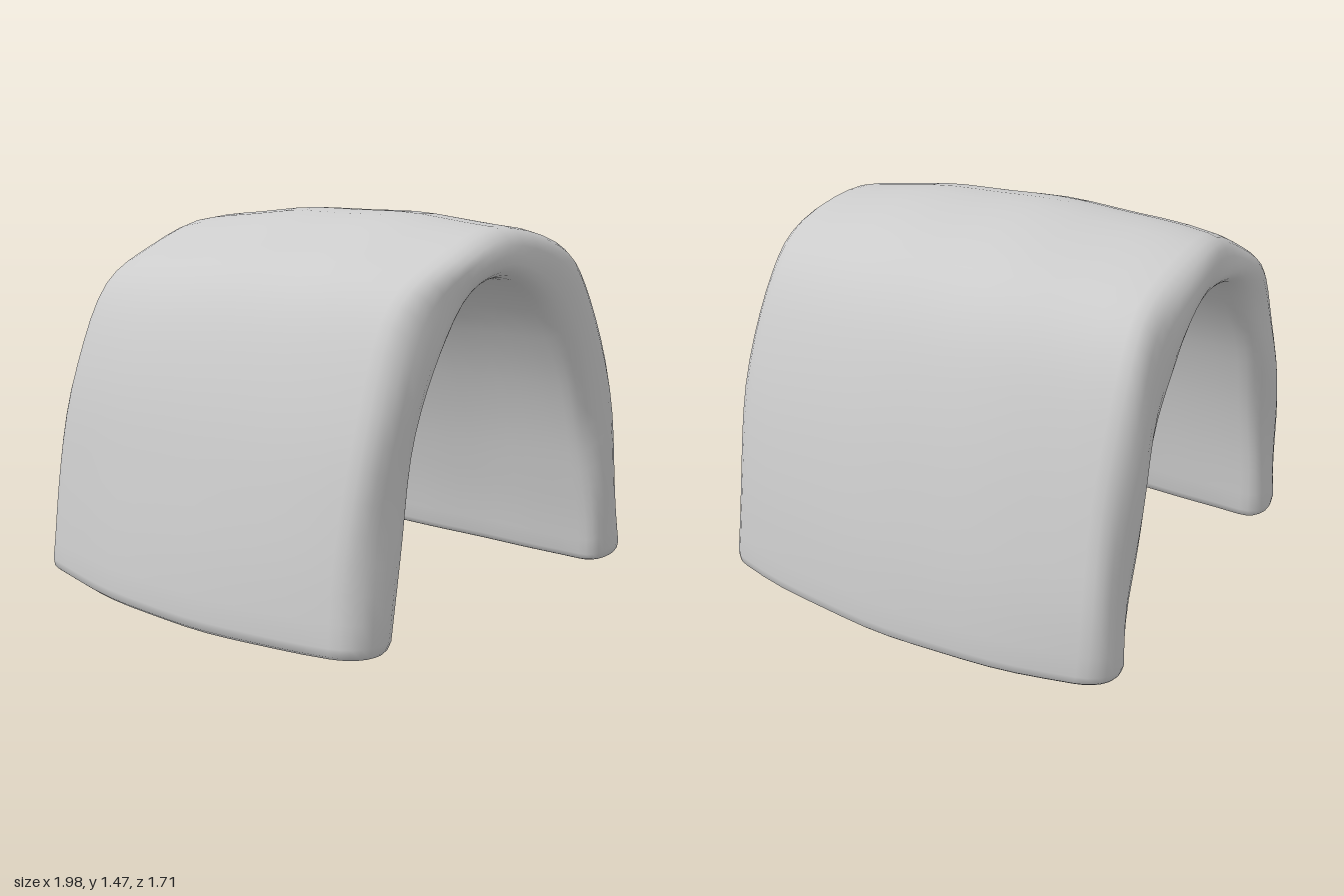
import * as THREE from 'three';

// Arch profile, from the right foot (-x) over the crown to the left foot (+x)
const spline = pts => new THREE.SplineCurve(pts.map(([x, y]) => new THREE.Vector2(x, y)));
const outer = spline([[-0.99, 0.03], [-0.94, 0.4], [-0.84, 0.84], [-0.66, 1.2], [-0.38, 1.37], [-0.02, 1.47],
  [0.4, 1.4], [0.65, 1.23], [0.82, 0.87], [0.94, 0.42], [0.985, 0.05]]);
const inner = spline([[-0.69, 0], [-0.65, 0.35], [-0.57, 0.68], [-0.45, 0.95], [-0.24, 1.18], [0, 1.23],
  [0.27, 1.13], [0.45, 0.9], [0.59, 0.6], [0.67, 0.3], [0.72, 0.02]]);

// Wall cross-section: a runs from inner (-1) to outer (+1), z along the depth
function wallSection() {
  const half = [];
  for (let i = 0; i <= 14; i++) half.push([1, 0.75 * (i / 7 - 1)]);
  for (let i = 1; i < 10; i++) {
    const q = Math.PI * (0.5 - i / 10), s = Math.sin(q);
    half.push([Math.sign(s) * Math.abs(s) ** 0.85, 0.75 + 0.1 * Math.cos(q) ** 0.85]);
  }
  return [...half, ...half.map(([a, z]) => [-a, -z])];
}

// Places one section point on the arch: narrower and lower at both ends, slightly skewed and uneven
function wallPoint(t, a, z) {
  const p = inner.getPoint(t).lerp(outer.getPoint(t), (a + 1) / 2);
  const end = (z / 0.84) ** 2, crown = Math.sin(Math.PI * t);
  const lump = 0.006 * Math.sin(17 * t + 5 * z) * Math.sin(7 * z - 9 * t + a);
  const ripple = 0.007 * Math.sin(31 * t + 2 * a + (z > 0 ? 0 : 2)) * end;
  return [
    p.x * (1 - 0.1 * end + lump) - 0.058 * z,
    p.y - 0.065 * end * crown * (a + 1) / 2 + lump * crown + 0.025 * end * (1 - crown),
    z + ripple * Math.sign(z),
  ];
}

function archGeometry() {
  const section = wallSection(), n = section.length;
  // Stations [t, thickness scale, depth scale]; the ends close into rounded feet
  const foot = [[0, 0, 0.97], [0, 0.4, 0.97], [0, 0.8, 0.98], [0.006, 0.94, 0.99], [0.018, 1, 1]];
  const stations = [...foot];
  for (let i = 1; i < 40; i++) stations.push([0.018 + 0.964 * i / 40, 1, 1]);
  foot.reverse().forEach(([t, s, d]) => stations.push([1 - t, s, d]));

  const positions = [], index = [];
  stations.forEach(([t, s, d], i) => {
    section.forEach(([a, z], j) => {
      positions.push(...wallPoint(t, a * s, z * d));
      if (i === stations.length - 1) return;
      const p = i * n + j, q = i * n + (j + 1) % n;
      index.push(p, q, p + n, q, q + n, p + n);
    });
  });
  const g = new THREE.BufferGeometry();
  g.setAttribute('position', new THREE.Float32BufferAttribute(positions, 3));
  g.setIndex(index);
  g.computeVertexNormals();
  return g;
}

export function createModel() {
  const group = new THREE.Group();
  group.name = 'archTunnel';
  const arch = new THREE.Mesh(archGeometry(), new THREE.MeshStandardMaterial({ color: 0xcccccc }));
  arch.name = 'archWall';
  group.add(arch);
  return group;
}
